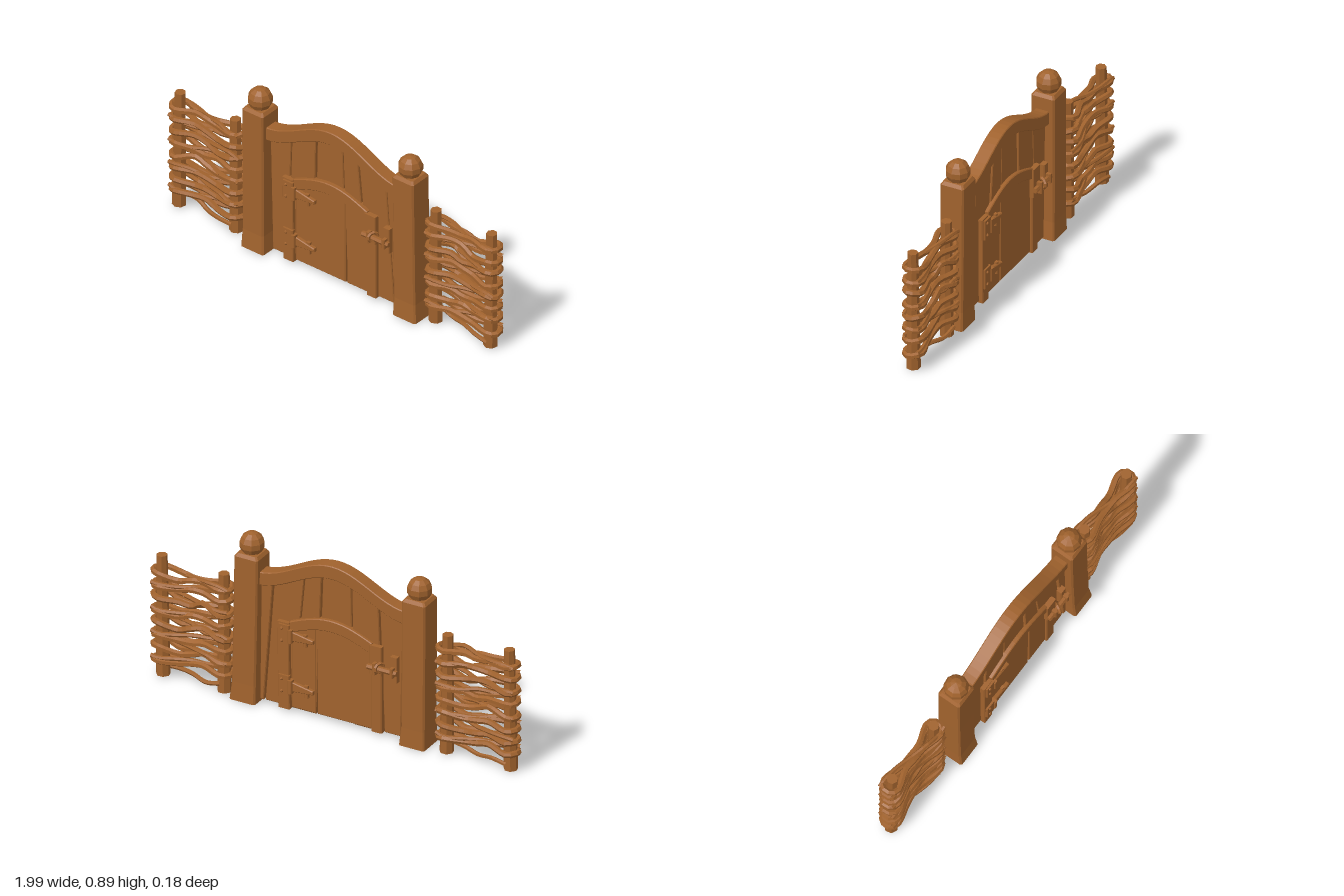
import * as THREE from 'three';

const wood = new THREE.MeshStandardMaterial({ color: 0xa0622d, flatShading: true });
wood.name = 'brown wood';

let seed = 7;
const rnd = (a) => {
  seed = (seed * 16807) % 2147483647;
  return (seed / 2147483647 * 2 - 1) * a;
};

function add(parent, name, geometry, x = 0, y = 0, z = 0) {
  const m = new THREE.Mesh(geometry, wood);
  m.name = name;
  m.position.set(x, y, z);
  parent.add(m);
  return m;
}

// Skin over rings of 3D points, closed at both ends
function loft(rings) {
  const n = rings[0].length, pos = rings.flat(2), idx = [];
  for (let r = 0; r < rings.length - 1; r++) {
    for (let i = 0; i < n; i++) {
      const a = r * n + i, b = r * n + (i + 1) % n;
      idx.push(a, a + n, b, b, a + n, b + n);
    }
  }
  const top = (rings.length - 1) * n;
  for (let i = 1; i < n - 1; i++) idx.push(0, i, i + 1, top, top + i + 1, top + i);
  const g = new THREE.BufferGeometry();
  g.setAttribute('position', new THREE.Float32BufferAttribute(pos, 3));
  g.setIndex(idx);
  return g;
}

// Rectangle with cut corners, at height y
function section(y, x0, x1, z0, z1, c = 0.008) {
  return [[x0 + c, z0], [x1 - c, z0], [x1, z0 + c], [x1, z1 - c],
    [x1 - c, z1], [x0 + c, z1], [x0, z1 - c], [x0, z0 + c]].map(([x, z]) => [x, y, z]);
}

// Flat board between a lower and an upper edge, t running 0..1 across it
function board(lower, upper, z0, z1, steps = 14) {
  const pts = [];
  for (let i = 0; i <= steps; i++) pts.push(new THREE.Vector2(...lower(i / steps)));
  for (let i = steps; i >= 0; i--) pts.push(new THREE.Vector2(...upper(i / steps)));
  const b = 0.004;
  const g = new THREE.ExtrudeGeometry(new THREE.Shape(pts), {
    depth: z1 - z0 - 2 * b, bevelEnabled: true, bevelThickness: b, bevelSize: b, bevelOffset: -b, bevelSegments: 1,
  });
  return g.translate(0, 0, z0 + b);
}

const MID = 0.015;
const gateTop = (x) => 0.705 + 0.135 * Math.cos(Math.PI * (x - MID) / 0.82) ** 2;
const doorTop = (x) => 0.425 + 0.065 * Math.cos(Math.PI * (x - MID) / 0.46);
const lerp = THREE.MathUtils.lerp;

function gatePost(parent, name, x0, x1, lean) {
  const g = new THREE.Group();
  g.name = name;
  add(g, 'postShaft', loft([
    section(0.003, x0 + lean - 0.003, x1 + lean + 0.008, -0.072, 0.071),
    section(0.1, x0 + lean * 0.8, x1 + lean * 0.8, -0.067, 0.062),
    section(0.45, x0 + lean * 0.3, x1 + lean * 0.3, -0.067, 0.059),
    section(0.772, x0, x1, -0.066, 0.059),
    section(0.788, x0 + 0.012, x1 - 0.012, -0.055, 0.048),
  ]));
  const ball = add(g, 'postBall', new THREE.SphereGeometry(0.062, 9, 7), (x0 + x1) / 2, 0.828, -0.003);
  ball.rotation.y = 0.3;
  parent.add(g);
}

function box(parent, name, x0, x1, y0, y1, z0, z1) {
  return add(parent, name, loft([section(y0, x0, x1, z0, z1, 0.004), section(y1, x0, x1, z0, z1, 0.004)]));
}

// One face of the door: arch, stiles, hinges and latch
function doorFace(name) {
  const g = new THREE.Group();
  g.name = name;
  const X = (t) => lerp(-0.21, 0.235, t);
  add(g, 'doorArch', board((t) => [X(t), doorTop(X(t))], (t) => [X(t), doorTop(X(t)) + 0.06], 0, 0.038));
  const left = box(g, 'hingeStile', -0.27, -0.208, 0.02, 0.48, 0, 0.04);
  left.rotation.z = 0.012;
  box(g, 'latchStile', 0.232, 0.288, 0.02, 0.475, 0, 0.036);
  // Strap hinges with a forked tip
  for (const y of [0.14, 0.41]) {
    box(g, 'hingePlate', -0.265, -0.205, y - 0.045, y + 0.06, 0.03, 0.05);
    box(g, 'hingeKnuckle', -0.212, -0.19, y - 0.03, y + 0.04, 0.025, 0.056);
    add(g, 'hingeStrap', board((t) => [lerp(-0.2, -0.08, t), y - lerp(0.022, 0.012, t)],
      (t) => [lerp(-0.2, -0.08, t), y + lerp(0.03, 0.008, t)], 0.015, 0.044, 2));
    const tip = box(g, 'hingeTip', -0.125, -0.105, y - 0.035, y + 0.03, 0.015, 0.04);
    tip.rotation.z = 0.03;
    for (const dy of [-0.025, 0.04]) add(g, 'nail', new THREE.SphereGeometry(0.009, 6, 4), -0.245, y + dy, 0.049);
  }
  // Sliding latch with ring handle
  box(g, 'latchPlate', 0.225, 0.292, 0.33, 0.485, 0.02, 0.046);
  box(g, 'keeperPlate', 0.338, 0.375, 0.315, 0.45, 0.01, 0.044);
  add(g, 'bolt', new THREE.CylinderGeometry(0.014, 0.014, 0.16, 6).rotateZ(Math.PI / 2), 0.302, 0.375, 0.054);
  box(g, 'boltBracket', 0.255, 0.272, 0.345, 0.405, 0.03, 0.072);
  box(g, 'keeperBracket', 0.348, 0.366, 0.35, 0.4, 0.03, 0.07);
  const ring = add(g, 'latchRing', new THREE.TorusGeometry(0.024, 0.009, 5, 9), 0.29, 0.385, 0.06);
  ring.rotation.y = 1.1;
  return g;
}

function gate() {
  const g = new THREE.Group();
  g.name = 'gate';
  // Upright planks as [bottom x, top x] seams
  const seams = [[-0.355, -0.37], [-0.26, -0.235], [-0.1, -0.085], [0.1, 0.072], [0.235, 0.165], [0.385, 0.335], [0.412, 0.405]];
  for (let i = 0; i < seams.length - 1; i++) {
    const [a, b] = [seams[i], seams[i + 1]];
    const z = (i % 2) * 0.004;
    add(g, 'plank', board((t) => [lerp(a[0] + 0.004, b[0] - 0.004, t), 0.022],
      (t) => { const x = lerp(a[1] + 0.004, b[1] - 0.004, t); return [x, gateTop(x) - 0.04]; },
      -0.026 - z, 0.016 + z, 5));
  }
  const X = (t) => lerp(-0.385, 0.415, t);
  add(g, 'archRail', board((t) => [X(t), gateTop(X(t)) - 0.07], (t) => [X(t), gateTop(X(t))], -0.04, 0.032, 24));
  // Door boards
  for (const [a, b] of [[-0.205, 0.095], [0.104, 0.235]]) {
    add(g, 'doorBoard', board((t) => [lerp(a, b, t), 0.026],
      (t) => [lerp(a, b, t), doorTop(lerp(a, b, t)) + 0.02], -0.033, 0.025, 6));
  }
  const front = doorFace('doorFront');
  const back = doorFace('doorBack');
  back.rotation.y = Math.PI;
  back.position.set(2 * MID, 0, -0.008);
  g.add(front, back);
  return g;
}

function tube(points, closed, radius) {
  const curve = new THREE.CatmullRomCurve3(points.map((p) => new THREE.Vector3(...p)), closed, 'centripetal');
  return new THREE.TubeGeometry(curve, closed ? 36 : 14, radius, 6, closed);
}

function wovenFence(name, xa, xb, ha, hb) {
  const g = new THREE.Group();
  g.name = name;
  const zc = -0.022;
  for (const [x, h] of [[xa, ha], [xb, hb]]) {
    const stake = add(g, 'stake', new THREE.CylinderGeometry(0.027, 0.035, h - 0.008, 7, 1), x, (h + 0.008) / 2, zc + 0.004);
    stake.rotation.z = rnd(0.012);
  }
  // Withies looped around both stakes, pinched between them
  const R = 0.042;
  for (let i = 0; i < 8; i++) {
    const y = 0.1 + i * 0.0665, pts = [];
    const tilt = rnd(0.006);
    for (const [x, s] of [[xb, 1], [xa, -1]]) {
      for (let k = 0; k <= 4; k++) {
        const a = Math.PI * (0.5 - k / 4);
        pts.push([x + s * Math.cos(a) * R, y + s * tilt + rnd(0.005), zc + s * Math.sin(a) * R]);
      }
      for (const t of [0.3, 0.5, 0.7]) {
        const u = s > 0 ? 1 - t : t;
        pts.push([lerp(xa, xb, u), y + s * (t - 0.5) * 0.05 + rnd(0.016), zc - s * 0.016 + rnd(0.005)]);
      }
    }
    add(g, 'loopedWithy', tube(pts, true, 0.0155));
  }
  // Loose withies threaded between the loops
  for (let i = 0; i < 9; i++) {
    const y = 0.05 + i * 0.0655, s = i % 2 ? 1 : -1;
    const pts = [-0.12, 0, 0.25, 0.5, 0.75, 1, 1.12].map((t) => [
      lerp(xa, xb, t), y + rnd(0.012), zc + s * Math.cos(Math.PI * THREE.MathUtils.clamp(t, 0, 1)) * 0.036]);
    add(g, 'threadedWithy', tube(i ? pts : pts.slice(1, 6), false, 0.011));
  }
  return g;
}

export function createModel() {
  const root = new THREE.Group();
  root.name = 'gateAndFence';
  gatePost(root, 'rightGatePost', -0.505, -0.378, 0.005);
  gatePost(root, 'leftGatePost', 0.402, 0.53, 0.015);
  root.add(gate());
  root.add(wovenFence('rightFence', -0.94, -0.6, 0.645, 0.635));
  root.add(wovenFence('leftFence', 0.608, 0.942, 0.635, 0.645));
  return root;
}
